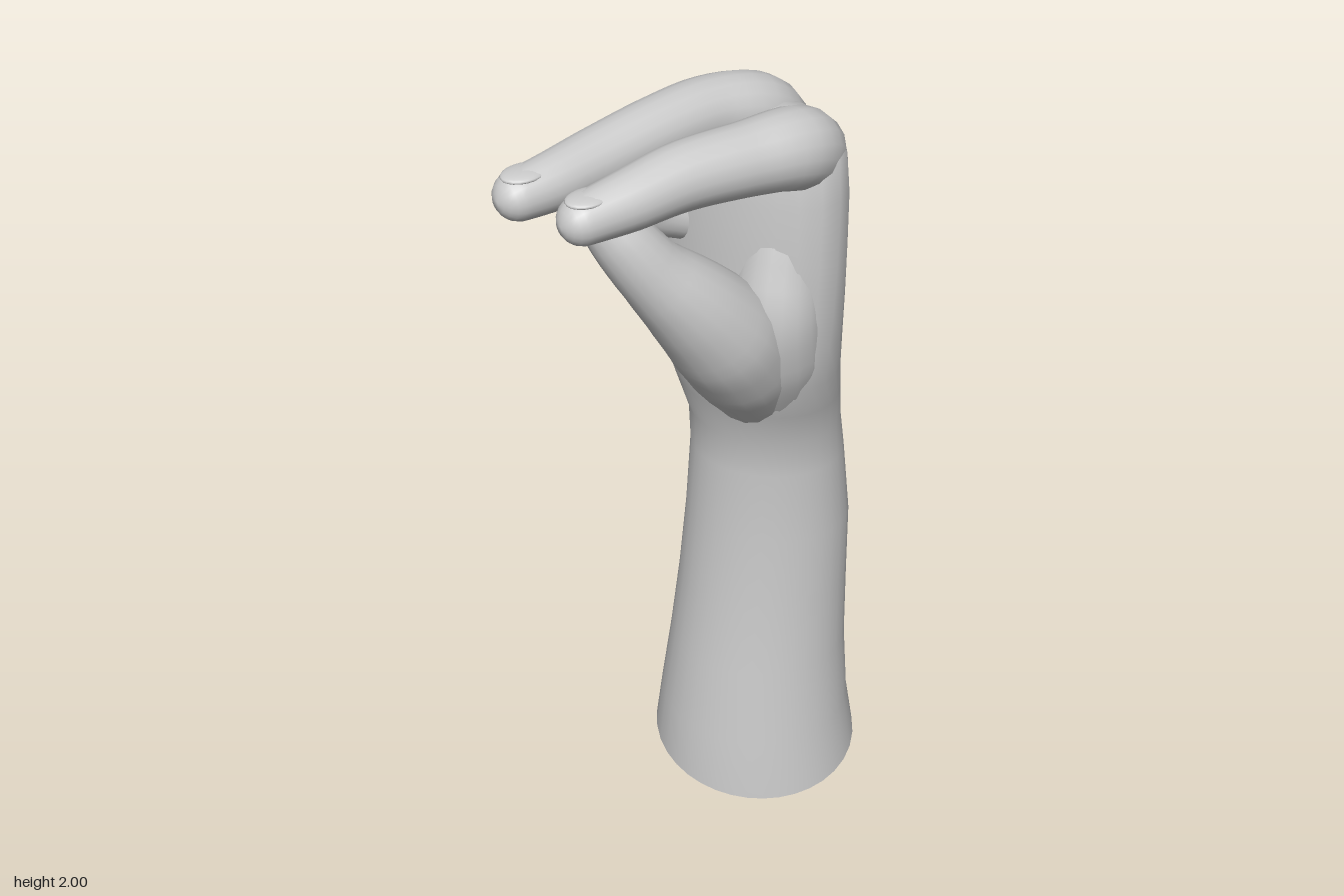
import * as THREE from 'three';

const skin = new THREE.MeshStandardMaterial({ color: 0xcccccc, side: THREE.DoubleSide });

// Smooth skin over a list of equal rings (counter-clockwise about the direction of travel)
function loft(rings, capStart, capEnd) {
  const n = rings[0].length, pts = rings.flat(), index = [];
  for (let i = 0; i < rings.length - 1; i++) {
    for (let j = 0; j < n; j++) {
      const a = i * n + j, b = i * n + (j + 1) % n;
      index.push(a, b, a + n, b, b + n, a + n);
    }
  }
  const cap = (start, flip) => {
    const c = new THREE.Vector3();
    for (let j = 0; j < n; j++) c.addScaledVector(pts[start + j], 1 / n);
    const k = pts.push(c) - 1;
    for (let j = 0; j < n; j++) {
      const a = start + j, b = start + (j + 1) % n;
      index.push(k, flip ? b : a, flip ? a : b);
    }
  };
  if (capStart) cap(0, true);
  if (capEnd) cap((rings.length - 1) * n, false);
  const geo = new THREE.BufferGeometry().setFromPoints(pts);
  geo.setIndex(index);
  geo.computeVertexNormals();
  return geo;
}

// Horizontal ring: oval turned by deg, tilted by its slopes along x and z
function ovalRing([y, cx, cz, a, b, deg, tiltX = 0, tiltZ = 0], sides = 36) {
  const ring = [], turn = THREE.MathUtils.degToRad(deg);
  for (let j = 0; j < sides; j++) {
    const t = (j / sides) * Math.PI * 2;
    const r = 1 / Math.hypot(Math.cos(t - turn) / a, Math.sin(t - turn) / b);
    const dx = r * Math.cos(t), dz = -r * Math.sin(t);
    ring.push(new THREE.Vector3(cx + dx, y + tiltX * dx + tiltZ * dz, cz + dz));
  }
  return ring;
}

// Finger swept along [x, y, z, radius] points, with a rounded tip
function fingerGeometry(path, steps = 28, sides = 18) {
  const curve = new THREE.CatmullRomCurve3(path.map(p => new THREE.Vector3(p[0], p[1], p[2])));
  const frames = curve.computeFrenetFrames(steps);
  const rings = [];
  const addRing = (c, r, i) => {
    const ring = [];
    for (let j = 0; j < sides; j++) {
      const t = (j / sides) * Math.PI * 2;
      ring.push(c.clone()
        .addScaledVector(frames.normals[i], r * Math.cos(t))
        .addScaledVector(frames.binormals[i], r * Math.sin(t)));
    }
    rings.push(ring);
  };
  for (let i = 0; i <= steps; i++) {
    const s = curve.getUtoTmapping(i / steps) * (path.length - 1);
    const k = Math.min(Math.floor(s), path.length - 2);
    addRing(curve.getPointAt(i / steps), THREE.MathUtils.lerp(path[k][3], path[k + 1][3], s - k), i);
  }
  const end = path[path.length - 1], tip = curve.getPointAt(1), dir = frames.tangents[steps];
  for (let i = 1; i <= 5; i++) {
    const a = (i / 5.4) * Math.PI / 2;
    addRing(tip.clone().addScaledVector(dir, end[3] * Math.sin(a)), end[3] * Math.cos(a), steps);
  }
  return loft(rings, true, true);
}

export function createModel() {
  const group = new THREE.Group();
  const add = (name, geo) => {
    const mesh = new THREE.Mesh(geo, skin);
    mesh.name = name;
    group.add(mesh);
    return mesh;
  };

  // Open-ended forearm rising through the wrist into the palm and knuckle ridge
  add('forearmAndPalm', loft([
    [0.05, 0.107, -0.202, 0.258, 0.235, 0, -0.06, -0.2],
    [0.2, 0.104, -0.194, 0.238, 0.217, 0, -0.02, -0.08],
    [0.4, 0.11, -0.191, 0.218, 0.192, 0],
    [0.6, 0.12, -0.184, 0.205, 0.174, 0],
    [0.8, 0.128, -0.179, 0.195, 0.162, 0],
    [1.0, 0.125, -0.163, 0.18, 0.149, -8],
    [1.1, 0.118, -0.153, 0.179, 0.147, -18],
    [1.2, 0.101, -0.133, 0.2, 0.157, -30],
    [1.3, 0.085, -0.115, 0.23, 0.164, -40],
    [1.4, 0.076, -0.108, 0.25, 0.162, -42],
    [1.5, 0.074, -0.106, 0.26, 0.156, -42],
    [1.62, 0.076, -0.1, 0.262, 0.15, -42],
    [1.74, 0.08, -0.096, 0.258, 0.141, -42, 0.08, 0.07],
    [1.81, 0.084, -0.092, 0.245, 0.127, -42, 0.15, 0.13],
    [1.86, 0.08, -0.086, 0.218, 0.105, -42, 0.18, 0.16],
    [1.893, 0.074, -0.08, 0.175, 0.075, -42, 0.18, 0.16],
    [1.908, 0.07, -0.075, 0.115, 0.04, -42, 0.18, 0.16],
  ].map(r => ovalRing(r)), false, true));

  // Fingers and thumb, from knuckle to tip
  const fingers = {
    indexFinger: [
      [0.19, 1.7, -0.02, 0.075], [0.2, 1.84, 0.005, 0.086], [0.172, 1.882, 0.07, 0.085],
      [0.085, 1.896, 0.15, 0.074], [-0.03, 1.903, 0.245, 0.068], [-0.12, 1.894, 0.33, 0.06],
      [-0.195, 1.887, 0.395, 0.05]],
    middleFinger: [
      [0.13, 1.7, -0.11, 0.07], [0.128, 1.84, -0.115, 0.076], [0.085, 1.9, -0.06, 0.077],
      [0.0, 1.928, 0.015, 0.071], [-0.09, 1.933, 0.115, 0.067], [-0.2, 1.925, 0.24, 0.062],
      [-0.27, 1.922, 0.325, 0.056], [-0.318, 1.92, 0.372, 0.05]],
    ringFinger: [
      [0.05, 1.66, -0.16, 0.06], [0.045, 1.79, -0.175, 0.072], [-0.02, 1.84, -0.11, 0.074],
      [-0.11, 1.835, -0.03, 0.071], [-0.145, 1.765, -0.01, 0.066], [-0.12, 1.69, -0.02, 0.06],
      [-0.06, 1.65, -0.05, 0.05]],
    littleFinger: [
      [-0.01, 1.6, -0.19, 0.06], [-0.035, 1.73, -0.23, 0.068], [-0.105, 1.77, -0.2, 0.068],
      [-0.175, 1.75, -0.14, 0.066], [-0.192, 1.69, -0.105, 0.061], [-0.165, 1.64, -0.1, 0.055],
      [-0.1, 1.61, -0.11, 0.046]],
    thumb: [
      [0.12, 1.12, -0.13, 0.07], [0.1, 1.24, -0.05, 0.1], [0.075, 1.36, 0.035, 0.122],
      [0.04, 1.47, 0.112, 0.122], [-0.02, 1.58, 0.178, 0.1], [-0.09, 1.68, 0.228, 0.074],
      [-0.15, 1.77, 0.25, 0.064], [-0.197, 1.83, 0.26, 0.045]],
  };
  for (const [name, path] of Object.entries(fingers)) add(name, fingerGeometry(path));

  // Fleshy ball of the thumb, running up the index side of the palm
  add('thumbMuscle', fingerGeometry([
    [0.14, 1.1, -0.14, 0.07], [0.145, 1.25, -0.055, 0.1], [0.15, 1.38, 0.01, 0.108],
    [0.15, 1.5, 0.042, 0.102], [0.155, 1.6, 0.03, 0.09], [0.17, 1.72, 0.005, 0.08], [0.18, 1.8, -0.005, 0.075]]));

  // Shallow nails on the two outstretched fingers
  for (const [name, x, y, z] of [['indexNail', -0.185, 1.928, 0.385], ['middleNail', -0.308, 1.961, 0.362]]) {
    const nail = add(name, new THREE.SphereGeometry(1, 20, 12));
    nail.scale.set(0.036, 0.01, 0.048);
    nail.position.set(x, y, z);
    nail.rotation.y = -Math.PI / 4;
  }
  return group;
}
